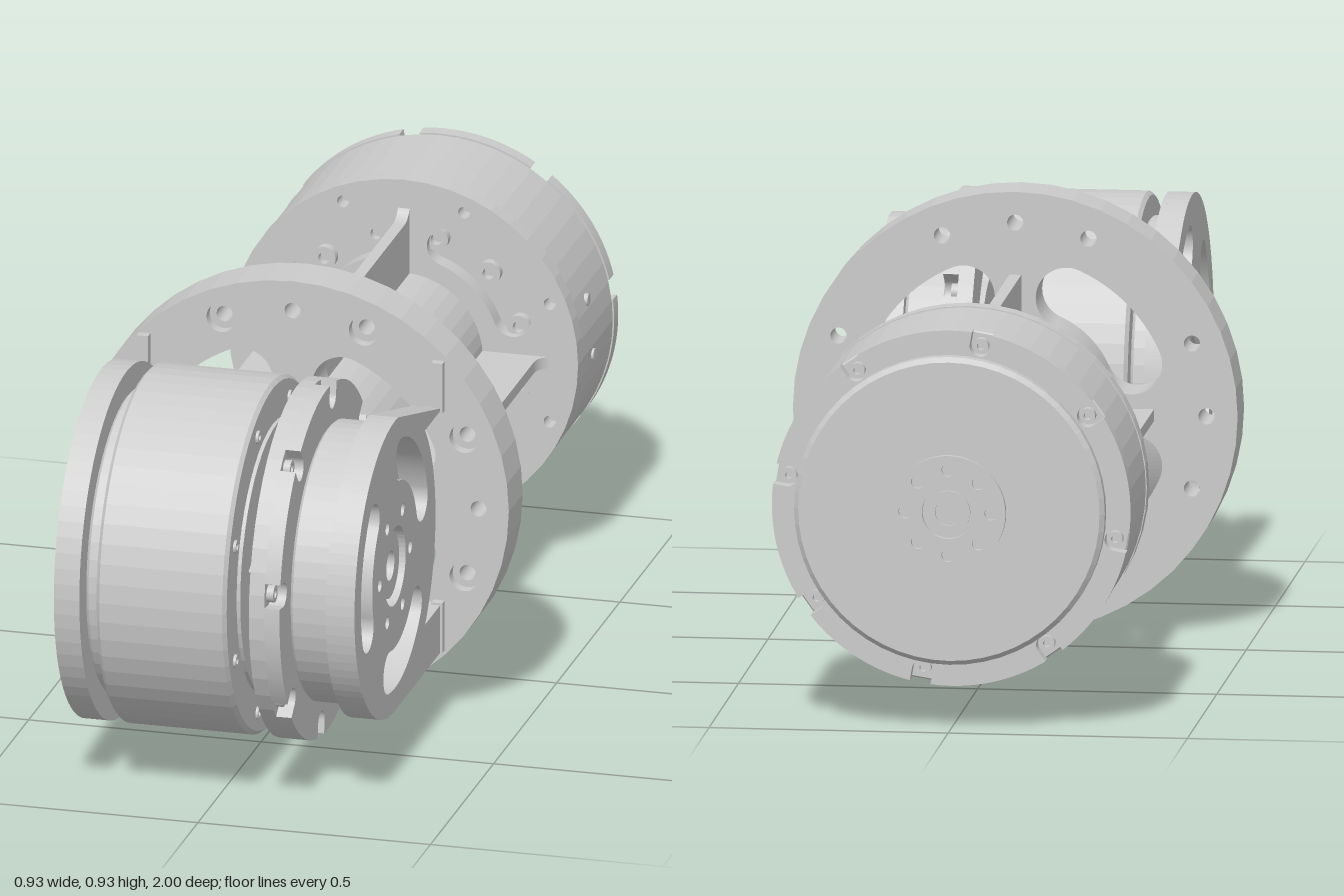
import * as THREE from 'three';

const material = new THREE.MeshStandardMaterial({ color: 0xcccccc });
const RAD = Math.PI / 180;
const MID = 0.465; // height of the main axis

function add(parent, name, geometry) {
  const mesh = new THREE.Mesh(geometry, material);
  mesh.name = name;
  parent.add(mesh);
  return mesh;
}

function circle(r, x = 0, y = 0, Type = THREE.Shape) {
  return new Type().absarc(x, y, r, 0, Math.PI * 2, false);
}

// n round holes on a bolt circle
function boltHoles(n, radius, r, start = 0) {
  return Array.from({ length: n }, (_, i) => {
    const a = (start + (i * 360) / n) * RAD;
    return circle(r, radius * Math.cos(a), radius * Math.sin(a), THREE.Path);
  });
}

// n curved slots with round ends
function kidneys(n, radius, half, span, start) {
  return Array.from({ length: n }, (_, i) => {
    const c = (start + (i * 360) / n) * RAD, a = c - span * RAD, b = c + span * RAD;
    return new THREE.Path()
      .absarc(0, 0, radius + half, a, b, false)
      .absarc(radius * Math.cos(b), radius * Math.sin(b), half, b, b + Math.PI, false)
      .absarc(0, 0, radius - half, b, a, true)
      .absarc(radius * Math.cos(a), radius * Math.sin(a), half, a + Math.PI, a + 2 * Math.PI, false);
  });
}

// Disc outline with eight rounded pockets in the rim
function notched(R, c, r, start) {
  const s = new THREE.Shape(), d = Math.asin(r / R);
  for (let i = 0; i < 8; i++) {
    const a = (start + i * 45) * RAD, b = a + 45 * RAD;
    s.absarc(0, 0, R, a + d, b - d, false);
    s.absarc(c * Math.cos(b), c * Math.sin(b), r, b - Math.PI / 2, b - 1.5 * Math.PI, true);
  }
  return s;
}

// Extrude a shape between two positions on its axis
function plate(parent, name, shape, w0, w1, holes = []) {
  shape.holes.push(...holes);
  const g = new THREE.ExtrudeGeometry(shape, { depth: w1 - w0, bevelEnabled: false, curveSegments: 24 });
  g.translate(0, 0, w0);
  return add(parent, name, g);
}

// Turned body with softened rims
function drum(parent, name, R, w0, w1, bevel = 0.008) {
  const p = [[0, w0], [R - bevel, w0], [R, w0 + bevel], [R, w1 - bevel], [R - bevel, w1], [0, w1]];
  const g = new THREE.LatheGeometry(p.map(([x, y]) => new THREE.Vector2(x, y)), 56).rotateX(Math.PI / 2).toNonIndexed();
  g.computeVertexNormals();
  return add(parent, name, g);
}

// Socket screws around a circle
function screws(parent, name, n, radius, r, w0, w1, start) {
  const set = new THREE.Group();
  set.name = name;
  for (let i = 0; i < n; i++) {
    const a = (start + (i * 360) / n) * RAD;
    const s = circle(r, radius * Math.cos(a), radius * Math.sin(a));
    plate(set, 'screw', s, w0, w1, [circle(r * 0.5, radius * Math.cos(a), radius * Math.sin(a), THREE.Path)]);
  }
  parent.add(set);
}

// Round arm plate with two prongs that meet the flange
function armShape(R, reach) {
  const o = 0.32, i = 0.215;
  const ao = Math.asin(Math.min(1, o / R)), ai = Math.asin(i / R);
  return new THREE.Shape()
    .moveTo(reach, o)
    .absarc(0, 0, R, ao, 2 * Math.PI - ao, false)
    .lineTo(reach, -o)
    .lineTo(reach, -i)
    .absarc(0, 0, R, -ai, ai, false)
    .lineTo(reach, i);
}

export function createModel() {
  const model = new THREE.Group();
  model.name = 'actuatorJoint';

  // Parts turned about the long axis
  const core = new THREE.Group();
  core.name = 'linkAssembly';
  core.position.y = MID;
  model.add(core);

  // Mounting flange, counterbored on its front
  for (const [name, w0, w1, r] of [['flangeBack', 0.14, 0.225, 0.017], ['flangeFront', 0.225, 0.25, 0.032]]) {
    plate(core, name, circle(0.465), w0, w1, [
      ...boltHoles(8, 0.4, r, 22.5), ...boltHoles(4, 0.4, 0.017), ...kidneys(4, 0.265, 0.065, 21, 45)]);
  }

  // Central tube and its four ribs
  const tube = new THREE.CylinderGeometry(0.17, 0.17, 0.78, 40).rotateX(Math.PI / 2).toNonIndexed();
  tube.computeVertexNormals();
  add(core, 'centralTube', tube.translate(0, 0, -0.245));
  for (let k = 0; k < 2; k++) {
    const s = new THREE.Shape()
      .moveTo(-0.29, 0.145).lineTo(-0.29, -0.59)
      .quadraticCurveTo(-0.29, -0.63, -0.33, -0.635)
      .lineTo(0.33, -0.635)
      .quadraticCurveTo(0.29, -0.63, 0.29, -0.59)
      .lineTo(0.29, 0.145);
    const rib = plate(core, 'ribPair', s, -0.0125, 0.0125,
      [circle(0.016, 0.22, -0.25, THREE.Path), circle(0.016, -0.22, -0.25, THREE.Path)]);
    rib.geometry.rotateX(Math.PI / 2);
    rib.rotation.z = k * Math.PI / 2;
  }

  // Rear motor
  const rear = new THREE.Group();
  rear.name = 'rearMotor';
  core.add(rear);
  plate(rear, 'rearMotorPlate', circle(0.375), -0.67, -0.63,
    [...kidneys(4, 0.25, 0.04, 24, 45), ...boltHoles(8, 0.34, 0.013, 22.5)]);
  drum(rear, 'rearMotorBody', 0.373, -0.915, -0.67, 0.003);
  screws(rear, 'rearSlotScrews', 12, 0.25, 0.025, -0.67, -0.65, 15);
  plate(rear, 'rearMotorRim', notched(0.375, 0.348, 0.022, 10), -0.948, -0.915);
  screws(rear, 'rearRimScrews', 8, 0.346, 0.016, -0.935, -0.915, 10);
  drum(rear, 'rearCover', 0.325, -0.988, -0.945, 0.01);
  plate(rear, 'rearHub', circle(0.12), -1, -0.987, [...boltHoles(8, 0.09, 0.014), circle(0.055, 0, 0, THREE.Path)]);
  plate(rear, 'rearHubRing', circle(0.045), -0.995, -0.987, [circle(0.028, 0, 0, THREE.Path)]);
  for (const y of [-0.02, 0.1]) {
    const plug = new THREE.CylinderGeometry(0.013, 0.013, 0.03, 16).rotateZ(Math.PI / 2);
    add(rear, 'sidePlug', plug.translate(Math.sqrt(0.375 ** 2 - y * y) - 0.012, y, -0.755));
  }

  // Front joint, turned about the x axis
  const joint = new THREE.Group();
  joint.name = 'frontJoint';
  joint.position.set(0, MID, 0.625);
  joint.rotation.y = Math.PI / 2;
  model.add(joint);

  // Motor side
  plate(joint, 'motorArm', armShape(0.375, 0.377), -0.31, -0.255,
    [...kidneys(3, 0.27, 0.05, 34, 48), ...boltHoles(6, 0.115, 0.014), circle(0.075, 0, 0, THREE.Path)]);
  drum(joint, 'frontCover', 0.325, -0.257, -0.218);
  plate(joint, 'motorHubRing', circle(0.06), -0.295, -0.255, [circle(0.035, 0, 0, THREE.Path)]);
  drum(joint, 'frontMotorBody', 0.376, -0.22, 0.06);
  plate(joint, 'frontMotorEnd', circle(0.29), 0.058, 0.068, [...kidneys(4, 0.21, 0.035, 26, 45)]);
  screws(joint, 'frontEndScrews', 8, 0.33, 0.014, 0.058, 0.066, 22.5);
  drum(joint, 'shaftStub', 0.045, 0.06, 0.08);

  // Bearing side with rim pockets
  plate(joint, 'bearingDisc', circle(0.377), 0.11, 0.143, [...kidneys(3, 0.23, 0.035, 28, 48)]);
  plate(joint, 'bearingRim', notched(0.377, 0.348, 0.026, -7.5), 0.143, 0.176);
  screws(joint, 'bearingRimScrews', 8, 0.346, 0.018, 0.143, 0.158, -7.5);
  drum(joint, 'bearingHousing', 0.295, 0.174, 0.262);
  plate(joint, 'bearingArm', armShape(0.321, 0.377), 0.26, 0.322,
    [...kidneys(3, 0.225, 0.045, 30, 48), ...boltHoles(6, 0.12, 0.014), circle(0.085, 0, 0, THREE.Path)]);
  screws(joint, 'slotScrews', 3, 0.24, 0.026, 0.26, 0.275, 76);
  plate(joint, 'bearingHubRing', circle(0.07), 0.26, 0.312, [circle(0.032, 0, 0, THREE.Path)]);
  plate(joint, 'bearingHubCore', circle(0.032), 0.26, 0.29, [circle(0.016, 0, 0, THREE.Path)]);

  // Feet where the arm prongs meet the flange
  for (const x of [-0.318, 0.315]) {
    for (const side of [-1, 1]) {
      const foot = new THREE.BoxGeometry(0.024, 0.11, 0.02);
      add(model, 'prongFoot', foot.translate(x, MID + side * 0.265, 0.258));
    }
  }
  return model;
}
